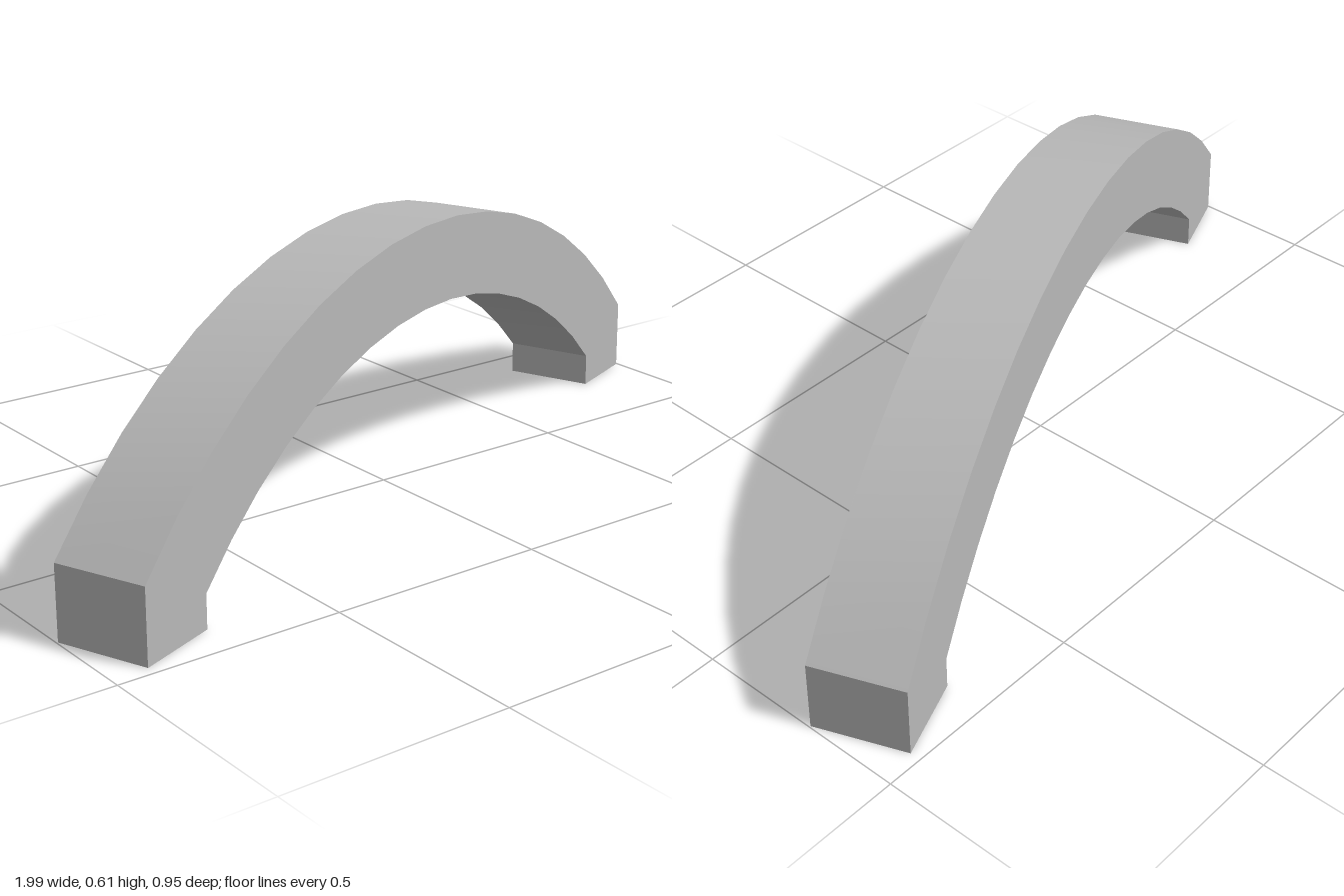
import * as THREE from 'three';
import { toCreasedNormals } from 'three/addons/utils/BufferGeometryUtils.js';

// Points along a circular arc over a span, listed from +x to -x
function arcPoints(halfSpan, springY, crownY, segments) {
  const rise = crownY - springY;
  const radius = (halfSpan * halfSpan + rise * rise) / (2 * rise);
  const sweep = Math.asin(halfSpan / radius);
  return Array.from({ length: segments + 1 }, (_, i) => {
    const a = sweep * (1 - (2 * i) / segments);
    return new THREE.Vector2(radius * Math.sin(a), crownY - radius + radius * Math.cos(a));
  });
}

export function createModel() {
  const group = new THREE.Group();
  const stone = new THREE.MeshStandardMaterial({ color: 0xb8b8b8 });
  stone.name = 'grey stone';

  // Arch outline: upper curve, then back along the underside, with short upright feet
  const outerHalf = 1.03, innerHalf = 0.841, depth = 0.21;
  const outline = [
    new THREE.Vector2(outerHalf, 0),
    ...arcPoints(outerHalf, 0.163, 0.605, 16),
    new THREE.Vector2(-outerHalf, 0),
    new THREE.Vector2(-innerHalf, 0),
    ...arcPoints(innerHalf, 0.075, 0.418, 16).reverse(),
    new THREE.Vector2(innerHalf, 0),
  ];
  const geometry = new THREE.ExtrudeGeometry(new THREE.Shape(outline), { depth, bevelEnabled: false });
  geometry.translate(0, 0, -depth / 2);

  // Smooth along the curves, sharp at the edges and feet
  const arch = new THREE.Mesh(toCreasedNormals(geometry, 0.4), stone);
  arch.name = 'arch';
  arch.rotation.y = THREE.MathUtils.degToRad(21.5);
  group.add(arch);
  return group;
}
